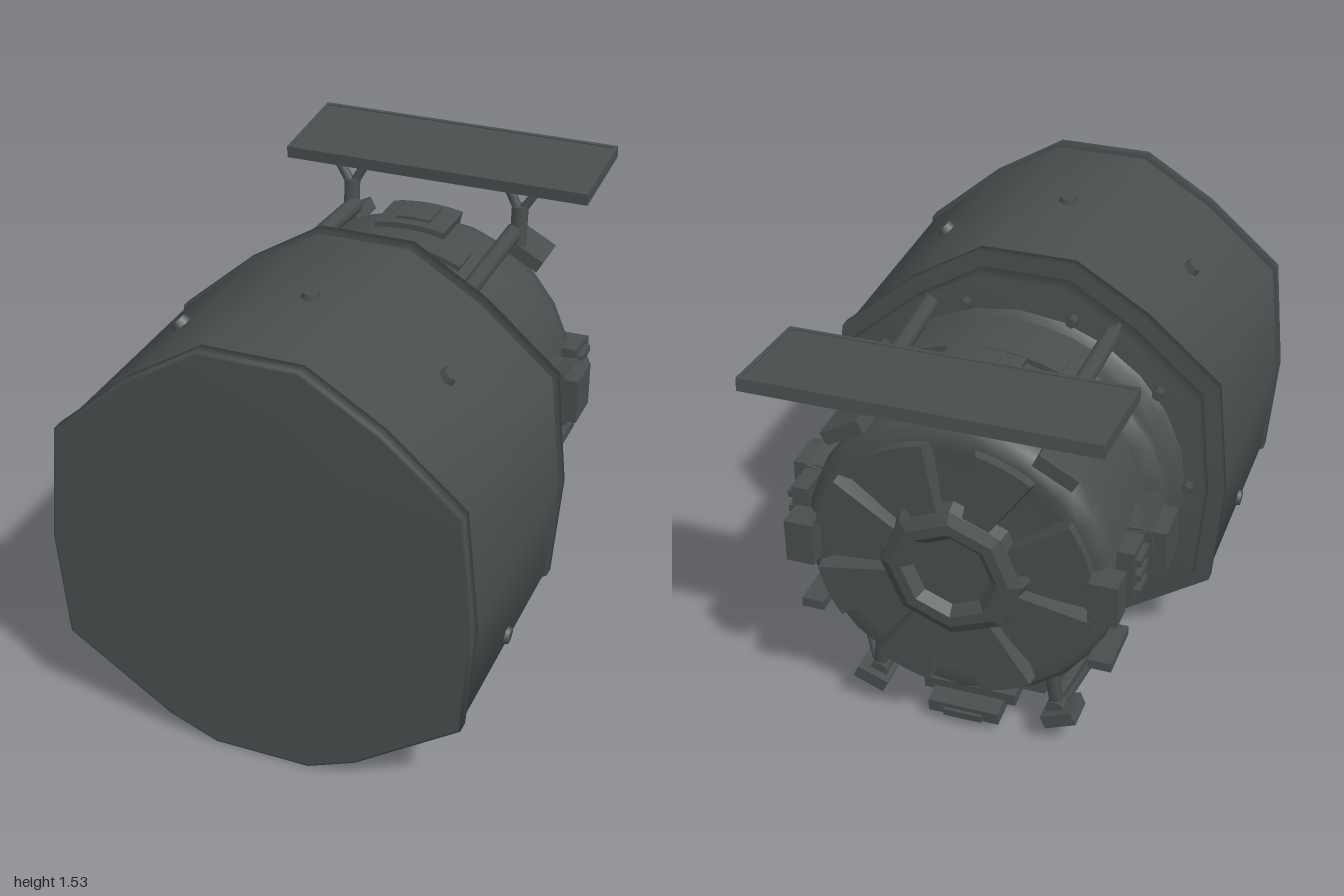
import * as THREE from 'three';

const CY = 0.77; // drum axis height
const BY = 0.75; // rear body axis height

export function createModel() {
  const root = new THREE.Group();
  root.name = 'spaceModule';
  const mat = new THREE.MeshStandardMaterial({ color: 0x484e4e });
  mat.name = 'darkGreyMetal';

  const add = (name, geo, parent = root) => {
    const m = new THREE.Mesh(geo, mat);
    m.name = name;
    parent.add(m);
    return m;
  };
  const box = (name, w, h, d, x, y, z, rx = 0, rz = 0) => {
    const m = add(name, new THREE.BoxGeometry(w, h, d));
    m.position.set(x, y, z);
    m.rotation.set(rx, 0, rz);
    return m;
  };
  // Round bar between two points
  const bar = (name, a, b, r, sides = 8) => {
    const p = new THREE.Vector3(...a), d = new THREE.Vector3(...b).sub(p);
    const m = add(name, new THREE.CylinderGeometry(r, r, d.length(), sides));
    m.position.copy(p).addScaledVector(d, 0.5);
    m.quaternion.setFromUnitVectors(new THREE.Vector3(0, 1, 0), d.normalize());
    return m;
  };
  // Box bent round the body axis; angle 0 is up, positive towards +x
  const bentBox = (name, angle, span, r0, r1, z0, z1, taper = 1) => {
    const g = new THREE.BoxGeometry(1, 1, 1, 6, 1, 1);
    const p = g.attributes.position;
    for (let i = 0; i < p.count; i++) {
      const outer = p.getY(i) > 0, rear = p.getZ(i) < 0;
      const t = angle + p.getX(i) * span * (rear ? taper : 1);
      const r = outer ? r1 : r0;
      p.setXYZ(i, r * Math.sin(t), BY + r * Math.cos(t), rear ? z0 : z1);
    }
    g.computeVertexNormals();
    return add(name, g);
  };

  // Faceted drum outline, right half from bottom to top, then mirrored
  const half = [[0.17, 0.01], [0.34, 0.08], [0.705, 0.33], [0.737, 0.72], [0.695, 1.14], [0.43, 1.37], [0.17, 1.53]];
  const outline = [...half, ...half.map(([x, y]) => [-x, y]).reverse()];
  const loft = (rings, caps) => {
    const n = outline.length, pos = [], idx = [];
    for (const [z, s] of rings) for (const [x, y] of outline) pos.push(x * s, CY + (y - CY) * s, z);
    for (let k = 0; k < rings.length - 1; k++) {
      for (let i = 0; i < n; i++) {
        const a = k * n + i, b = k * n + (i + 1) % n;
        idx.push(a, b, b + n, a, b + n, a + n);
      }
    }
    if (caps) {
      const last = (rings.length - 1) * n, c = pos.length / 3;
      pos.push(0, CY, rings[0][0], 0, CY, rings[rings.length - 1][0]);
      for (let i = 0; i < n; i++) {
        const j = (i + 1) % n;
        idx.push(c, j, i, c + 1, last + i, last + j);
      }
    }
    const g = new THREE.BufferGeometry();
    g.setAttribute('position', new THREE.Float32BufferAttribute(pos, 3));
    g.setIndex(idx);
    g.computeVertexNormals();
    return g;
  };

  // Front drum
  add('drumBarrel', loft([[0.05, 0.985], [0.95, 0.985]], false));
  add('drumLid', loft([[0.94, 1], [0.985, 1], [0.99, 0.985]], true));
  add('drumRearFlange', loft([[0.03, 1], [0.07, 1]], true));
  add('mountPlate', loft([[-0.03, 0.92], [0.04, 0.925]], true));

  // Bolts round the drum
  const bolts = [[0, 1.52, 0], [0.47, 1.33, 0.72], [-0.47, 1.33, -0.72], [0.695, 0.375, 1.65], [-0.695, 0.375, -1.65]];
  for (const [x, y, t] of bolts) {
    const b = add('drumBolt', new THREE.CylinderGeometry(0.028, 0.036, 0.035, 6));
    b.position.set(x, y, 0.51);
    b.rotation.z = -t;
  }
  // Bolts on the mounting plate
  for (let i = 0; i < 10; i++) {
    const t = (i + 0.5) * Math.PI / 5;
    const b = add('plateBolt', new THREE.CylinderGeometry(0.02, 0.02, 0.04, 6));
    b.position.set(0.622 * Math.sin(t), CY + 0.622 * Math.cos(t), -0.045);
    b.rotation.x = Math.PI / 2;
  }

  // Rear body, turned round the z axis (profile: radius, distance backwards)
  const lathe = (name, pts, sides) => {
    const g = new THREE.LatheGeometry(pts.map(([r, d]) => new THREE.Vector2(r, d)), sides);
    g.rotateX(-Math.PI / 2);
    const m = add(name, g);
    m.position.y = BY;
    return m;
  };
  lathe('bodyCollar', [[0.62, 0.02], [0.595, 0.05], [0.58, 0.12], [0.6, 0.18], [0.6, 0.22], [0.53, 0.245]], 24);
  lathe('bodyShell', [[0.535, 0.23], [0.54, 0.4], [0.55, 0.5], [0.555, 0.6], [0.54, 0.67], [0.5, 0.71], [0.45, 0.69], [0.3, 0.7], [0, 0.7]], 24);

  // Rear end: raised ribs between recesses, and an octagonal hub
  for (let i = 0; i < 8; i++) {
    bentBox('endRib', (i + 0.5) * Math.PI / 4, 0.5, 0.22, 0.49, -0.742, -0.66, 0.82);
  }
  const hub = lathe('endHub', [[0.27, 0.68], [0.25, 0.745], [0.21, 0.765], [0.17, 0.765], [0.135, 0.735], [0, 0.735]], 8);
  hub.geometry = hub.geometry.toNonIndexed();
  hub.geometry.computeVertexNormals();

  // Saddle, hatch and ridges on top
  bentBox('topSaddle', 0, 1.05, 0.5, 0.615, -0.52, -0.1);
  bentBox('topRidge', 0, 0.8, 0.5, 0.635, -0.34, -0.22);
  bentBox('topHatchFrame', 0, 0.42, 0.5, 0.645, -0.56, -0.36);
  bentBox('topHatch', 0, 0.2, 0.5, 0.655, -0.52, -0.4);

  for (const s of [1, -1]) {
    // Side pods and vents
    bentBox('sidePod', s * 1.46, 0.28, 0.48, 0.6, -0.5, -0.28);
    bentBox('sideVentFrame', s * 1.47, 0.34, 0.48, 0.63, -0.51, -0.34, 0.8);
    box('sideThruster', 0.14, 0.17, 0.16, s * 0.595, 0.81, -0.42);
    box('sideVent', 0.06, 0.2, 0.12, s * 0.57, 0.81, -0.6);
    for (const y of [0.75, 0.81, 0.87]) box('ventSlat', 0.03, 0.025, 0.1, s * 0.605, y, -0.6);
    box('sideLatch', 0.1, 0.16, 0.1, s * 0.53, 0.77, -0.725);
    box('sideFin', 0.08, 0.035, 0.21, s * 0.515, 0.485, -0.63);

    // Panel carriers along the top
    bar('topStrut', [s * 0.33, 1.33, 0.0], [s * 0.315, 1.31, -0.62], 0.032);
    bar('strutPost', [s * 0.33, 1.24, -0.62], [s * 0.33, 1.41, -0.63], 0.032);
    bar('postForkOuter', [s * 0.33, 1.38, -0.63], [s * 0.4, 1.49, -0.64], 0.018, 6);
    bar('postForkInner', [s * 0.33, 1.38, -0.63], [s * 0.27, 1.49, -0.64], 0.018, 6);
    box('strutBracket', 0.15, 0.05, 0.16, s * 0.36, 1.23, -0.67, 0, -s * 0.5);

    // Lower struts and their feet
    bar('lowerStrut', [s * 0.33, 0.19, 0.0], [s * 0.33, 0.15, -0.63], 0.036);
    bar('lowerPost', [s * 0.33, 0.15, -0.6], [s * 0.31, 0.33, -0.62], 0.025, 6);
    bar('lowerBrace', [s * 0.35, 0.16, -0.58], [s * 0.43, 0.32, -0.5], 0.018, 6);
    box('lowerFoot', 0.12, 0.05, 0.12, s * 0.35, 0.13, -0.6, 0, s * 0.4);
  }

  // Equipment bay under the body
  bentBox('lowerSaddle', Math.PI, 0.8, 0.48, 0.585, -0.56, -0.26);
  box('bayTray', 0.34, 0.05, 0.3, 0, 0.125, -0.44, -0.08);
  box('bayBox', 0.26, 0.05, 0.26, 0, 0.085, -0.53, -0.1);
  box('bayPlate', 0.14, 0.03, 0.12, 0, 0.07, -0.61, -0.12);
  bar('bayCrossTube', [-0.33, 0.16, -0.52], [0.33, 0.16, -0.52], 0.022);
  bar('bayCrossTubeFront', [-0.33, 0.17, -0.3], [0.33, 0.17, -0.3], 0.02);
  for (const x of [-0.22, 0.22]) box('bayModule', 0.11, 0.1, 0.22, x, 0.21, -0.46);

  // Tilted flat panel with a raised frame
  const panel = new THREE.Group();
  panel.name = 'topPanel';
  panel.position.set(0, 1.5, -0.803);
  panel.rotation.x = 0.085;
  root.add(panel);
  add('panelPlate', new THREE.BoxGeometry(1.16, 0.036, 0.38), panel);
  for (const s of [1, -1]) {
    add('panelLongRail', new THREE.BoxGeometry(1.17, 0.045, 0.015), panel).position.z = s * 0.189;
    add('panelShortRail', new THREE.BoxGeometry(0.015, 0.045, 0.39), panel).position.x = s * 0.578;
  }
  return root;
}
